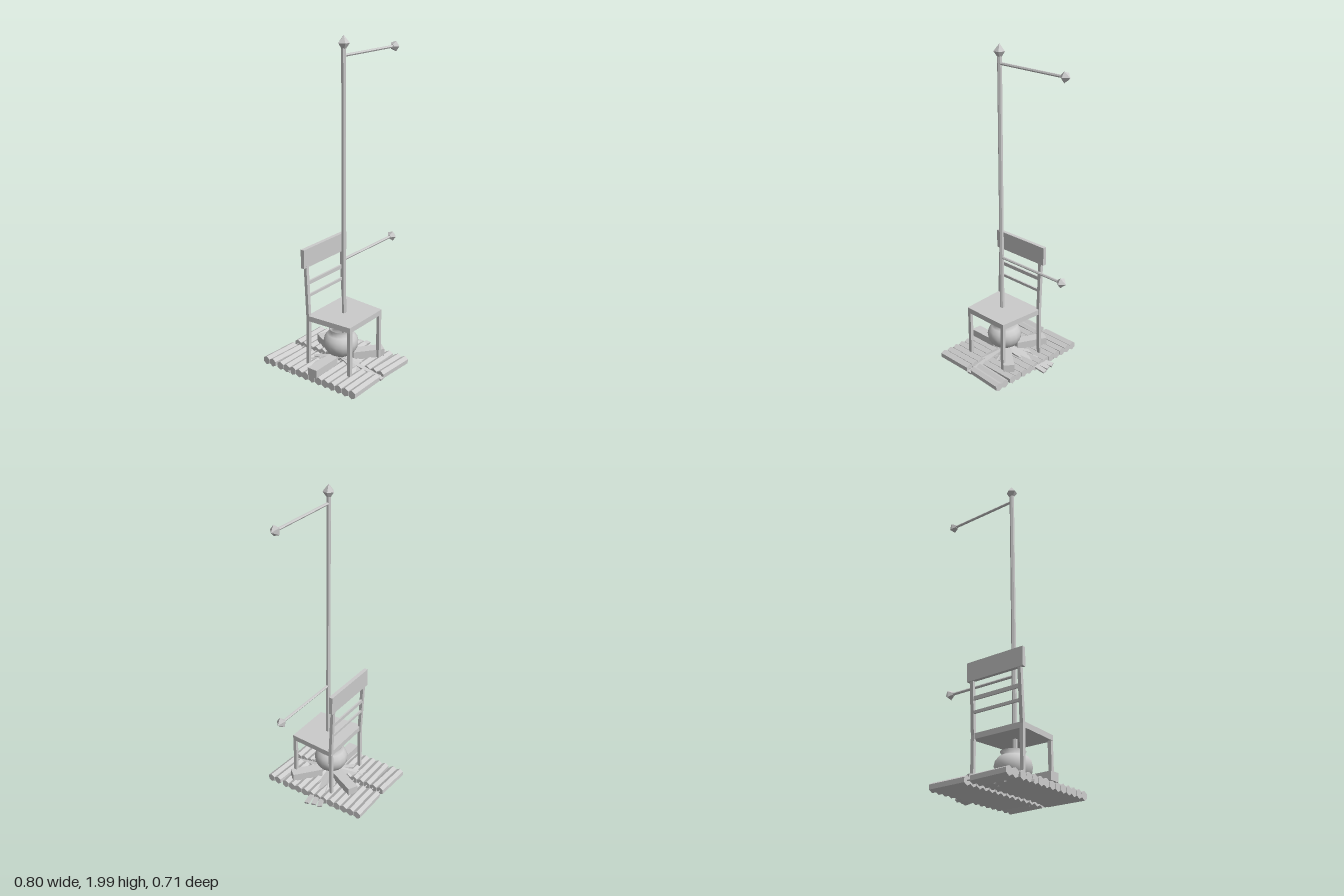
import * as THREE from 'three';

const smooth = new THREE.MeshStandardMaterial({ color: 0xcccccc, side: THREE.DoubleSide });
const flat = new THREE.MeshStandardMaterial({ color: 0xcccccc, flatShading: true });

function add(parent, name, geometry, material = flat) {
  const mesh = new THREE.Mesh(geometry, material);
  mesh.name = name;
  parent.add(mesh);
  return mesh;
}

function group(parent, name) {
  const g = new THREE.Group();
  g.name = name;
  parent.add(g);
  return g;
}

// box given by its limits on each axis
function slab(parent, name, x0, x1, y0, y1, z0, z1) {
  const m = add(parent, name, new THREE.BoxGeometry(x1 - x0, y1 - y0, z1 - z0));
  m.position.set((x0 + x1) / 2, (y0 + y1) / 2, (z0 + z1) / 2);
  return m;
}

// many-sided rod between two points
function rod(parent, name, a, b, radius, sides) {
  const start = new THREE.Vector3(...a), end = new THREE.Vector3(...b);
  const dir = end.clone().sub(start);
  const m = add(parent, name, new THREE.CylinderGeometry(radius, radius, dir.length(), sides));
  m.position.copy(start).add(end).multiplyScalar(0.5);
  m.quaternion.setFromUnitVectors(new THREE.Vector3(0, 1, 0), dir.normalize());
  return m;
}

// board between two points, rolled about its length
function board(parent, name, a, b, width, thick, roll = 0) {
  const start = new THREE.Vector3(...a), end = new THREE.Vector3(...b);
  const m = add(parent, name, new THREE.BoxGeometry(width, thick, start.distanceTo(end)));
  m.position.copy(start).add(end).multiplyScalar(0.5);
  m.lookAt(end);
  m.rotateZ(roll);
  return m;
}

// five-sided spear point growing along +y
function spearPoint(parent, name, length, radius) {
  const profile = [[0, 0], [0.012, 0], [radius, length * 0.43], [0, length]];
  return add(parent, name, new THREE.LatheGeometry(profile.map(p => new THREE.Vector2(...p)), 5));
}

function buildRaft(root) {
  const raft = group(root, 'raft');
  for (let i = 0; i < 14; i++) {
    const z = -0.32 + i * 0.0492;
    // outermost logs fan out a little
    const leanBack = i < 2 ? -0.013 : 0;
    const leanFront = i > 11 ? 0.014 : 0;
    const y = 0.034;
    rod(raft, 'rightLog', [-0.39, y, z + leanBack], [-0.15, y, z], 0.027, 6);
    rod(raft, 'leftLog', [-0.112, y, z], [0.128, y, z + leanFront], 0.027, 6);
    rod(raft, 'logTie', [-0.16, y, z], [-0.1, y, z + 0.002], 0.004, 5);
  }
  // put a ridge of each hexagonal log on top
  raft.children.forEach(m => { if (m.name !== 'logTie') m.rotateY(Math.PI / 2); });
}

function buildFire(root) {
  const fire = group(root, 'fire');
  const cx = -0.128, cz = 0.036;
  // three thick beams under the pot
  for (const [dx, dz] of [[-0.27, 0], [0.119, -0.242], [0.206, 0.168]]) {
    const k = 0.27;
    board(fire, 'beam', [cx + dx * k, 0.079, cz + dz * k], [cx + dx, 0.079, cz + dz], 0.066, 0.05);
  }
  // kindling, sloping down from the middle: end x, end z, roll
  const twigs = [
    [0.178, -0.078, 0.3], [0.183, -0.035, 0.2], [0.197, 0.008, 0.2], [0.122, -0.155, 0],
    [-0.243, -0.255, 0.8], [-0.225, -0.205, 0.8], [-0.3, -0.24, 0.4], [-0.39, -0.155, 0],
    [-0.2, 0.335, 0.3], [-0.06, 0.25, 0.4], [-0.126, 0.345, 0],
  ];
  for (const [x, z, roll] of twigs) {
    board(fire, 'twig', [cx, 0.075, cz], [x, 0.022, z], 0.03, 0.012, roll);
  }
}

function buildPot(root) {
  const profile = [[0, 0.087], [0.05, 0.093], [0.083, 0.115], [0.102, 0.146], [0.107, 0.178],
    [0.1, 0.207], [0.082, 0.23], [0.062, 0.242], [0.073, 0.262], [0.063, 0.262], [0.052, 0.242],
    [0.07, 0.225]];
  const pot = add(root, 'pot',
    new THREE.LatheGeometry(profile.map(p => new THREE.Vector2(...p)), 16), smooth);
  pot.position.set(-0.128, 0, 0.038);
}

function buildChair(root) {
  const chair = group(root, 'chair');
  chair.position.x = -0.114;

  // seat narrows toward the front
  const outline = new THREE.Shape([[-0.179, 0.085], [-0.157, -0.215], [0.157, -0.215], [0.179, 0.085]]
    .map(p => new THREE.Vector2(...p)));
  const seat = add(chair, 'seat', new THREE.ExtrudeGeometry(outline, { depth: 0.033, bevelEnabled: false }));
  seat.rotation.x = -Math.PI / 2;
  seat.position.y = 0.338;

  for (const s of [-1, 1]) {
    const front = slab(chair, 'frontLeg', -0.011, 0.011, 0.055, 0.34, 0.195, 0.215);
    front.position.x = s * 0.144;
    // back leg bends backward above the seat
    const side = new THREE.Shape([[-0.077, 0.055], [-0.07, 0.36], [-0.084, 0.69],
      [-0.104, 0.69], [-0.09, 0.36], [-0.094, 0.055]].map(p => new THREE.Vector2(...p)));
    const back = add(chair, 'backLeg', new THREE.ExtrudeGeometry(side, { depth: 0.022, bevelEnabled: false }));
    back.rotation.y = -Math.PI / 2;
    back.position.x = s * 0.169 + 0.011;
  }
  slab(chair, 'lowerSlat', -0.16, 0.16, 0.483, 0.5, -0.094, -0.084);
  slab(chair, 'upperSlat', -0.16, 0.16, 0.56, 0.583, -0.098, -0.088);
  slab(chair, 'topRail', -0.199, 0.199, 0.675, 0.79, -0.108, -0.084);
}

function buildPole(root) {
  const pole = group(root, 'pole');
  pole.position.set(-0.124, 0, 0.06);
  rod(pole, 'shaft', [0, 0.11, 0], [0, 1.94, 0], 0.014, 6);
  const tip = spearPoint(pole, 'poleTip', 0.075, 0.034);
  tip.position.y = 1.925;
  tip.rotation.y = Math.PI;
  for (const y of [0.712, 1.89]) {
    rod(pole, 'arm', [0, y, 0], [0.47, y, 0], 0.0085, 6);
    const point = spearPoint(pole, 'armTip', 0.06, 0.032);
    point.position.set(0.46, y, 0);
    point.rotation.z = -Math.PI / 2;
  }
}

export function createModel() {
  const model = new THREE.Group();
  model.name = 'chairOnRaft';
  buildRaft(model);
  buildFire(model);
  buildPot(model);
  buildChair(model);
  buildPole(model);
  return model;
}
